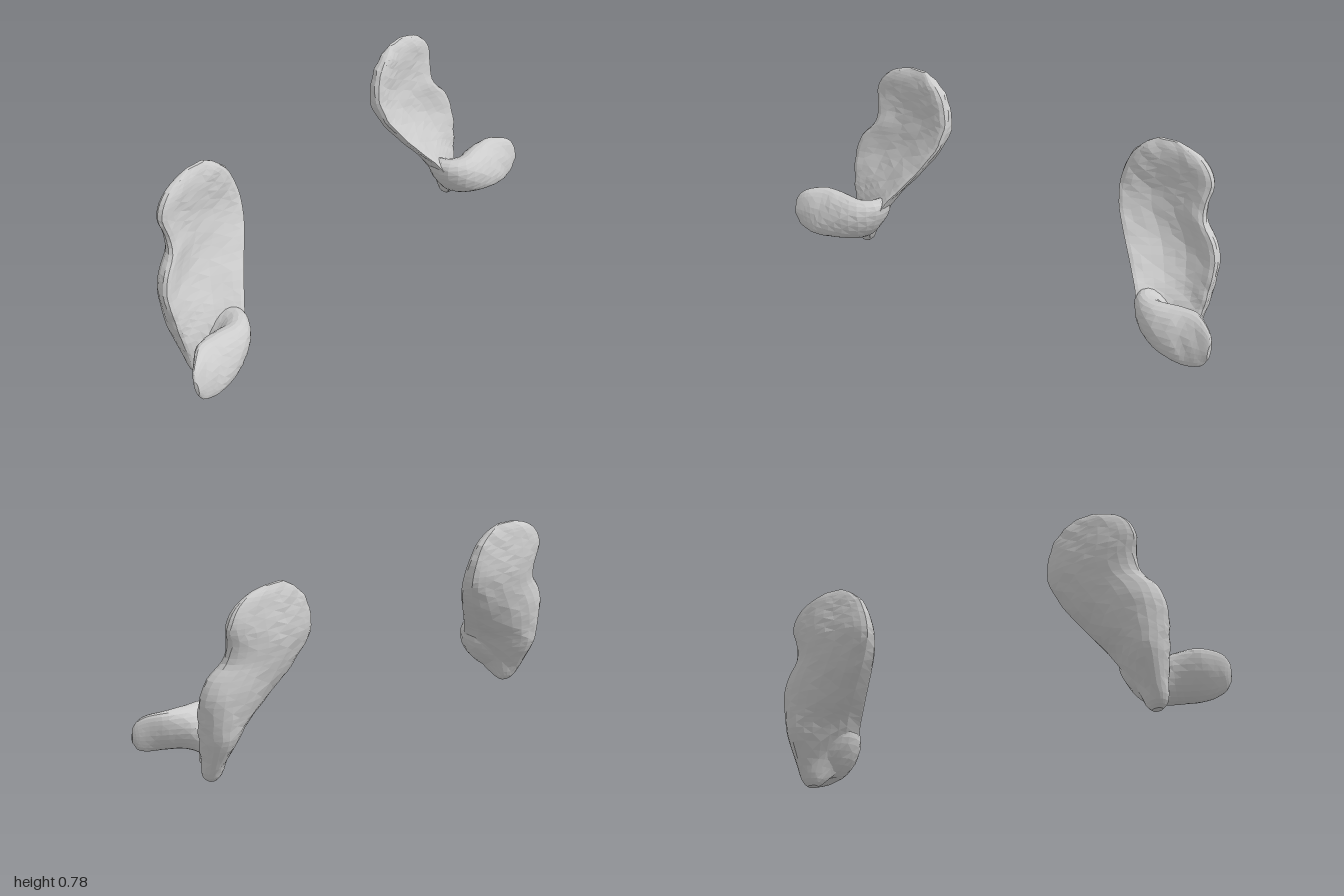
import * as THREE from 'three';

const SIDES = 24;
const material = new THREE.MeshStandardMaterial({ color: 0xcccccc, flatShading: true, roughness: 0.9 });

// Smoothly resample rows of numbers (Catmull-Rom on every column)
function resample(rows, count) {
  const cr = (a, b, c, d, t) =>
    0.5 * (2 * b + (c - a) * t + (2 * a - 5 * b + 4 * c - d) * t * t + (3 * b - a - 3 * c + d) * t * t * t);
  const last = rows.length - 1;
  const at = (i) => rows[Math.min(last, Math.max(0, i))];
  return Array.from({ length: count + 1 }, (_, k) => {
    const f = (k / count) * last;
    const i = Math.min(last - 1, Math.floor(f));
    return rows[0].map((_, c) => cr(at(i - 1)[c], at(i)[c], at(i + 1)[c], at(i + 2)[c], f - i));
  });
}

// Hand-carved unevenness
const wobble = (p) => {
  const n = Math.sin(p.x * 41 + p.y * 29) * Math.sin(p.y * 37 - p.z * 53 + 1.3) + 0.6 * Math.sin(p.x * 83 + p.z * 71 + p.y * 67);
  p.x += 0.002 * n;
  p.z += 0.002 * n;
  return p;
};

// Skin a list of closed rings, capping both ends; side -1 mirrors the form
function loft(name, rings, side) {
  const positions = [];
  const index = [];
  const tri = (a, b, c) => (side > 0 ? index.push(a, b, c) : index.push(a, c, b));
  const push = (p) => positions.push(p.x * side, p.y, p.z);
  rings.forEach((ring) => ring.forEach((p) => push(wobble(p))));
  for (let r = 0; r < rings.length - 1; r++) {
    for (let s = 0; s < SIDES; s++) {
      const a = r * SIDES + s, b = r * SIDES + ((s + 1) % SIDES);
      const c = a + SIDES, d = b + SIDES;
      if ((r + s) % 2) { tri(a, c, b); tri(b, c, d); } else { tri(a, c, d); tri(a, d, b); }
    }
  }
  [0, rings.length - 1].forEach((r) => {
    const centre = new THREE.Vector3();
    rings[r].forEach((p) => centre.addScaledVector(p, 1 / SIDES));
    const apex = positions.length / 3;
    push(centre);
    for (let s = 0; s < SIDES; s++) {
      const a = r * SIDES + s, b = r * SIDES + ((s + 1) % SIDES);
      if (r === 0) tri(apex, a, b); else tri(apex, b, a);
    }
  });
  const geometry = new THREE.BufferGeometry();
  geometry.setAttribute('position', new THREE.Float32BufferAttribute(positions, 3));
  geometry.setIndex(index);
  geometry.computeVertexNormals();
  const mesh = new THREE.Mesh(geometry, material);
  mesh.name = name;
  return mesh;
}

// Blade levels: y, inner x, outer x, inner z, outer z, back z, front z
const BLADE = [
  [0.0, 0.76, 0.8, 0.0, -0.01, -0.025, 0.008],
  [0.025, 0.735, 0.825, 0.018, -0.012, -0.045, 0.025],
  [0.1, 0.69, 0.837, 0.075, -0.025, -0.082, 0.03],
  [0.19, 0.638, 0.855, 0.09, -0.045, -0.13, 0.01],
  [0.25, 0.602, 0.865, 0.058, -0.055, -0.15, -0.02],
  [0.3, 0.565, 0.872, 0.022, -0.065, -0.163, -0.045],
  [0.38, 0.505, 0.875, -0.03, -0.085, -0.18, -0.085],
  [0.45, 0.457, 0.85, -0.07, -0.1, -0.19, -0.108],
  [0.51, 0.428, 0.8, -0.1, -0.12, -0.199, -0.12],
  [0.58, 0.415, 0.788, -0.128, -0.145, -0.209, -0.135],
  [0.65, 0.428, 0.802, -0.145, -0.162, -0.207, -0.138],
  [0.71, 0.455, 0.78, -0.155, -0.168, -0.2, -0.14],
  [0.755, 0.503, 0.725, -0.162, -0.172, -0.192, -0.15],
  [0.783, 0.55, 0.64, -0.17, -0.172, -0.178, -0.165],
];

// Curved-sheet section: hollowed front, rounded rim, convex back that is fullest towards the inner edge
function bladeRing([y, xi, xo, zi, zo, zBack, zFront]) {
  const rim = 0.08 * Math.min(1, (xo - xi) / 0.3);
  const mid = (zi + zo) / 2;
  return Array.from({ length: SIDES }, (_, s) => {
    const a = (s / SIDES) * Math.PI * 2;
    const n = Math.sin(a);
    const u = (1 + Math.cos(a)) / 2;
    const offset = n > 0
      ? (zFront - mid) * n * n + rim * n * (1 - n)
      : (zBack - mid) * Math.abs(n) ** (0.5 + 0.5 * u);
    return new THREE.Vector3(xi + (xo - xi) * u, y, zi + (zo - zi) * u + offset);
  });
}

// Lobe stations: centre x, centre z, bottom y, top y, half thickness, lean of the bottom edge
const LOBE = [
  [0.745, -0.045, 0.07, 0.2, 0.025, -0.03],
  [0.722, 0.005, 0.04, 0.235, 0.052, -0.055],
  [0.708, 0.055, 0.042, 0.255, 0.07, -0.06],
  [0.735, 0.105, 0.062, 0.262, 0.079, -0.025],
  [0.8, 0.136, 0.08, 0.266, 0.07, 0.02],
  [0.88, 0.155, 0.083, 0.27, 0.048, 0.038],
  [0.94, 0.174, 0.09, 0.262, 0.03, 0.026],
  [0.98, 0.186, 0.11, 0.24, 0.017, 0.014],
  [0.998, 0.194, 0.145, 0.205, 0.008, 0.005],
];

function lobeRings() {
  const rows = resample(LOBE, 24);
  return rows.map(([x, z, y0, y1, t, lean], i) => {
    const p = rows[Math.max(0, i - 1)], q = rows[Math.min(rows.length - 1, i + 1)];
    const length = Math.hypot(q[0] - p[0], q[1] - p[1]);
    const nx = -(q[1] - p[1]) / length, nz = (q[0] - p[0]) / length;
    return Array.from({ length: SIDES }, (_, s) => {
      const a = (s / SIDES) * Math.PI * 2;
      const h = Math.sin(a);
      const w = t * Math.cos(a) - lean * h;
      return new THREE.Vector3(x + nx * w, (y0 + y1) / 2 + ((y1 - y0) / 2) * h, z + nz * w);
    });
  });
}

export function createModel() {
  const model = new THREE.Group();
  model.name = 'pairedCurvedForms';
  for (const side of [1, -1]) {
    const form = new THREE.Group();
    form.name = side > 0 ? 'leftForm' : 'rightForm';
    form.add(loft('blade', resample(BLADE, 39).map(bladeRing), side));
    form.add(loft('lobe', lobeRings(), side));
    model.add(form);
  }
  return model;
}
